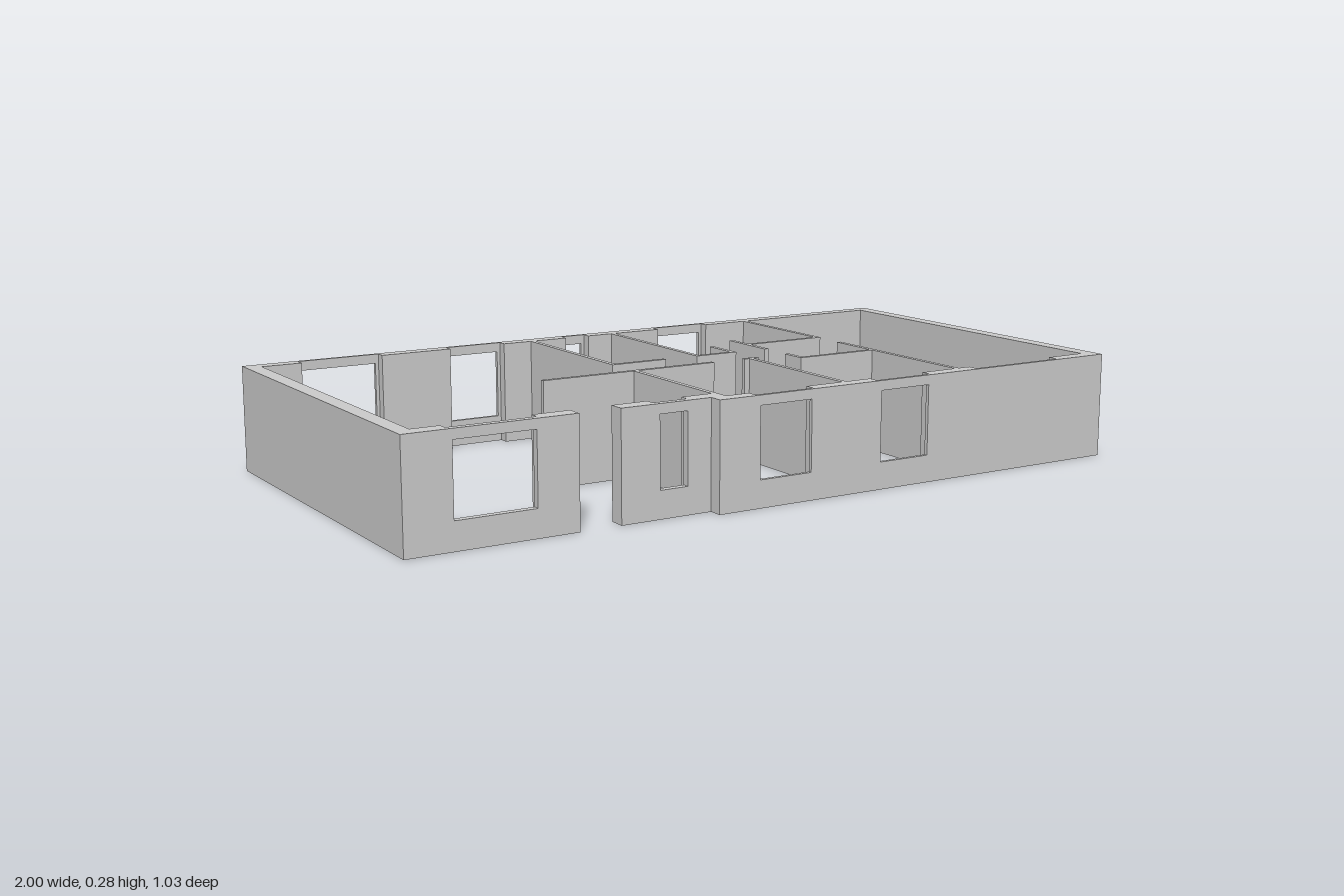
import * as THREE from 'three';

const HEIGHT = 0.275, SILL = 0.07, HEAD = 0.25, JAMB = 0.009;
const material = new THREE.MeshStandardMaterial({ color: 0xcccccc, flatShading: true });

// Full-height wall block over a plan rectangle
function block(parent, name, x0, x1, z0, z1) {
  const mesh = new THREE.Mesh(new THREE.BoxGeometry(x1 - x0, HEIGHT, z1 - z0), material);
  mesh.position.set((x0 + x1) / 2, HEIGHT / 2, (z0 + z1) / 2);
  mesh.name = name;
  parent.add(mesh);
}

// Thin panel filling a recess, with an optional window opening
function panel(parent, name, x0, x1, z0, z1, hasWindow) {
  const rect = (path, a, b, c, d) =>
    path.moveTo(a, c).lineTo(b, c).lineTo(b, d).lineTo(a, d).closePath();
  const shape = new THREE.Shape();
  rect(shape, x0, x1, 0, HEIGHT);
  if (hasWindow) {
    const hole = new THREE.Path();
    rect(hole, x0 + JAMB, x1 - JAMB, SILL, HEAD);
    shape.holes.push(hole);
  }
  const geometry = new THREE.ExtrudeGeometry(shape, { depth: z1 - z0, bevelEnabled: false });
  const mesh = new THREE.Mesh(geometry, material);
  mesh.position.z = z0;
  mesh.name = name;
  parent.add(mesh);
}

// Wall along x: thick piers alternating with thin recessed panels
function recessedWall(name, x0, x1, thick, thin, recesses) {
  const wall = new THREE.Group();
  wall.name = name;
  let x = x0;
  for (const [a, b, hasWindow = true] of recesses) {
    block(wall, 'pier', x, a, ...thick);
    panel(wall, hasWindow ? 'windowPanel' : 'blindPanel', a, b, ...thin, hasWindow);
    x = b;
  }
  block(wall, 'pier', x, x1, ...thick);
  return wall;
}

export function createModel() {
  const model = new THREE.Group();
  model.name = 'floorPlanHouse';

  // Outer walls
  model.add(recessedWall('backWall', -1, 1, [-0.518, -0.482], [-0.518, -0.508],
    [[-0.853, -0.63], [-0.432, -0.27], [-0.077, -0.005], [0.225, 0.39]]));
  model.add(recessedWall('frontWallRightOfDoor', -1, -0.567, [0.435, 0.478], [0.46, 0.478],
    [[-0.888, -0.665]]));
  model.add(recessedWall('frontWallLeftOfDoor', -0.459, -0.187, [0.435, 0.478], [0.46, 0.478],
    [[-0.364, -0.271]]));
  model.add(recessedWall('frontWallProjecting', -0.215, 1, [0.478, 0.515], [0.505, 0.515],
    [[-0.109, 0.058], [0.251, 0.417], [0.571, 0.845, false]]));
  block(model, 'rightSideWall', -1, -0.96, -0.482, 0.435);
  block(model, 'leftSideWall', 0.96, 1, -0.482, 0.478);

  // Interior partitions: [x0, x1, z0, z1]
  const rooms = {
    backRoomPartition: [[-0.187, -0.174, -0.482, -0.03], [-0.174, -0.026, -0.043, -0.03]],
    backMiddlePartition: [[0.07, 0.083, -0.482, -0.03], [0.083, 0.182, -0.043, -0.03],
      [0.182, 0.195, -0.14, -0.03]],
    backLeftPartition: [[0.287, 0.3, -0.2, -0.03], [0.3, 0.523, -0.128, -0.115],
      [0.523, 0.536, -0.482, -0.115]],
    frontLeftPartition: [[0.287, 0.3, 0.065, 0.125], [0.287, 0.523, 0.125, 0.138],
      [0.523, 0.536, 0.022 - 0.042, 0.478]],
    frontMiddlePartition: [[0.15, 0.195, 0.064, 0.077], [0.165, 0.178, 0.077, 0.478]],
    hallPartition: [[-0.445, 0.055, 0.064, 0.077], [-0.187, -0.174, 0.077, 0.478]],
  };
  for (const [name, walls] of Object.entries(rooms)) {
    const group = new THREE.Group();
    group.name = name;
    for (const plan of walls) block(group, 'partitionWall', ...plan);
    model.add(group);
  }
  return model;
}
